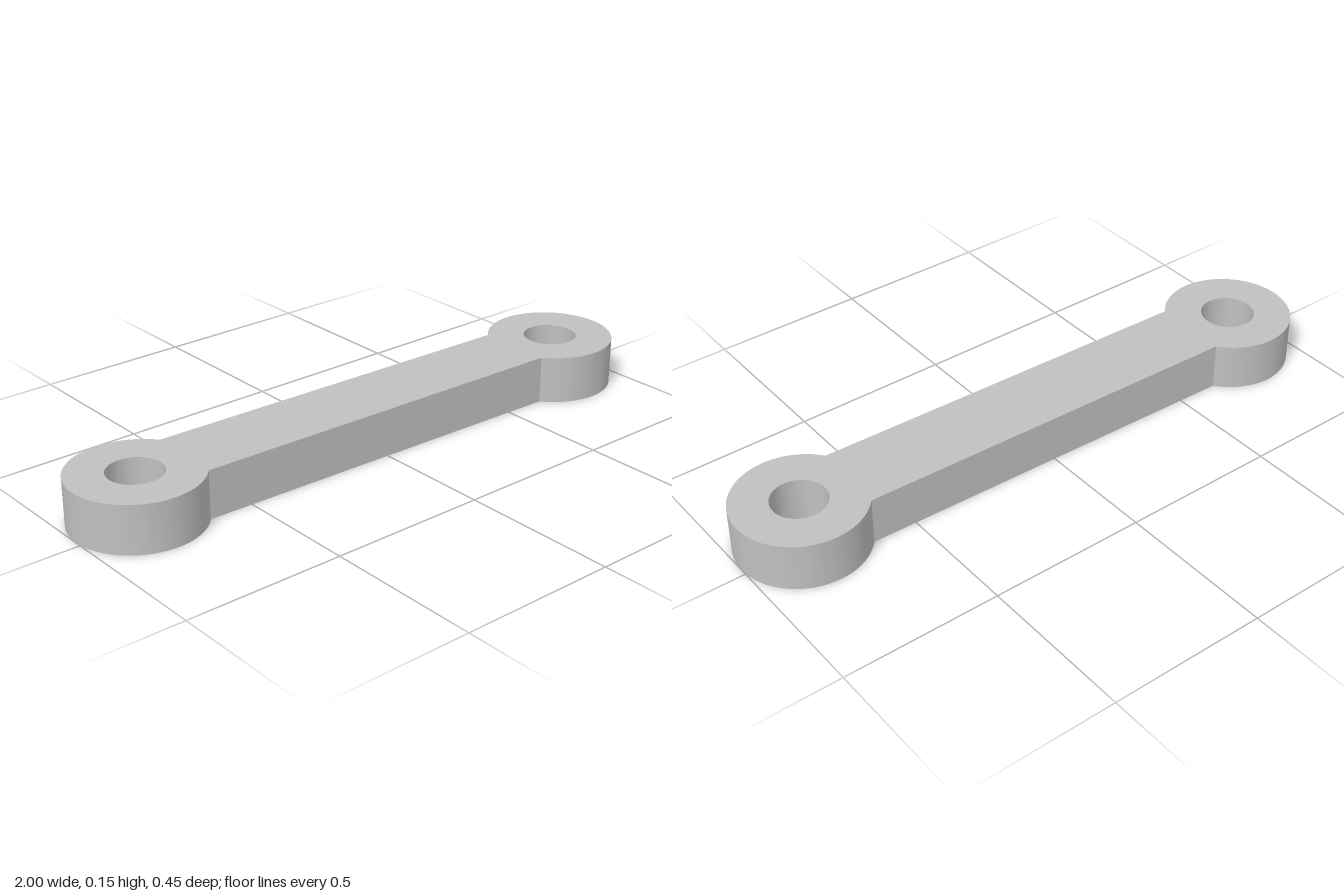
import * as THREE from 'three';
import { toCreasedNormals } from 'three/addons/utils/BufferGeometryUtils.js';

const HEIGHT = 0.153;
const END_RADIUS = 0.2025;
const HOLE_RADIUS = 0.085;
const BAR_HALF_WIDTH = 0.125;
const HALF_SPAN = 0.798; // centre of the link to the centre of each eye
const TILT = 0.0282; // slight turn in the ground plane

export function createModel() {
  const model = new THREE.Group();
  model.name = 'linkArm';

  const steel = new THREE.MeshStandardMaterial({ color: 0xc0c0c0 });
  steel.name = 'light grey metal';

  // Outline: two round eyes joined by a straight bar
  const a = Math.asin(BAR_HALF_WIDTH / END_RADIUS);
  const outline = new THREE.Shape();
  outline.absarc(HALF_SPAN, 0, END_RADIUS, a - Math.PI, Math.PI - a, false);
  outline.absarc(-HALF_SPAN, 0, END_RADIUS, a, 2 * Math.PI - a, false);
  outline.closePath();

  // Pin hole through each eye
  for (const side of [-1, 1]) {
    const hole = new THREE.Path();
    hole.absarc(side * HALF_SPAN, 0, HOLE_RADIUS, 0, 2 * Math.PI, true);
    outline.holes.push(hole);
  }

  // Lay the extrusion flat, keeping smooth cylinders and sharp edges
  const solid = new THREE.ExtrudeGeometry(outline, {
    depth: HEIGHT, bevelEnabled: false, curveSegments: 64,
  });
  solid.rotateX(-Math.PI / 2);
  solid.rotateY(-TILT);

  const link = new THREE.Mesh(toCreasedNormals(solid, Math.PI / 6), steel);
  link.name = 'linkBody';
  model.add(link);
  return model;
}
